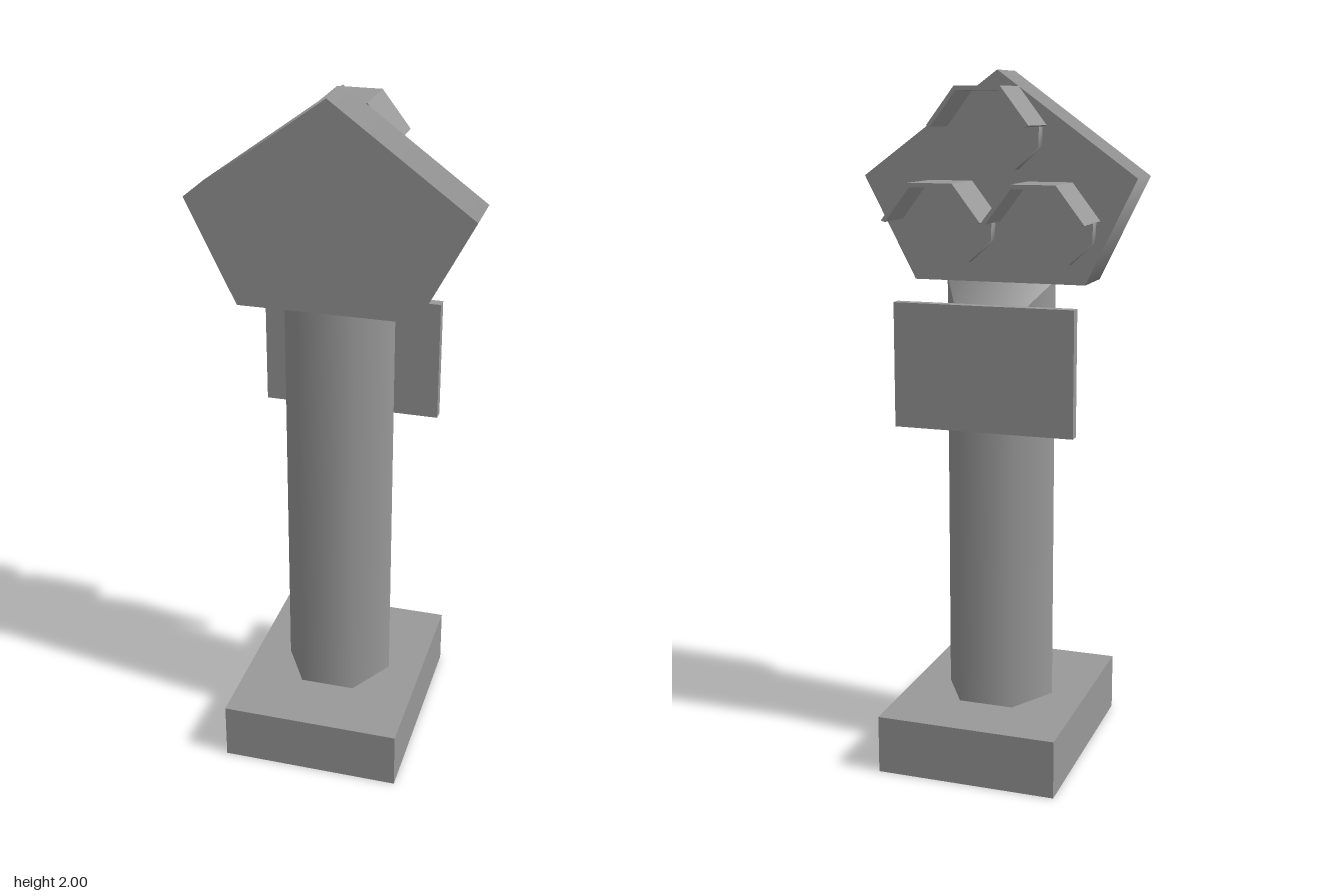
import * as THREE from 'three';
import { toCreasedNormals } from 'three/addons/utils/BufferGeometryUtils.js';

const grey = new THREE.MeshStandardMaterial({ color: 0x999999 });
const greyDouble = new THREE.MeshStandardMaterial({ color: 0x999999, side: THREE.DoubleSide });

function addMesh(parent, name, geometry, material = grey) {
  const mesh = new THREE.Mesh(geometry, material);
  mesh.name = name;
  parent.add(mesh);
  return mesh;
}

// Prism of an XY outline between two depths
function prism(points, zBack, zFront) {
  const shape = new THREE.Shape(points.map(([x, y]) => new THREE.Vector2(x, y)));
  const geometry = new THREE.ExtrudeGeometry(shape, { depth: zFront - zBack, bevelEnabled: false });
  return geometry.translate(0, 0, zBack);
}

// Box without its underside
function openBox(width, height, depth) {
  const geometry = new THREE.BoxGeometry(width, height, depth);
  const index = Array.from(geometry.index.array);
  index.splice(18, 6);
  geometry.setIndex(index);
  geometry.clearGroups();
  return geometry;
}

// Six-sided post whose top slopes down towards the back with soft shading
function post() {
  const bottom = 0.165, top = 1.41;
  const geometry = new THREE.CylinderGeometry(0.163, 0.163, top - bottom, 6, 1, false, Math.PI / 6);
  geometry.translate(-0.005, (top + bottom) / 2, -0.007);
  const pos = geometry.attributes.position;
  const normal = geometry.attributes.normal;
  const soft = new THREE.Vector3();
  for (let i = 0; i < pos.count; i++) {
    const z = pos.getZ(i);
    if (pos.getY(i) < 1 || z > 0.05) continue;
    pos.setY(i, z < -0.1 ? 1.32 : 1.42);
    if (normal.getY(i) > 0.5) {
      soft.set(pos.getX(i) * 4, 0.8, -0.7).normalize();
      normal.setXYZ(i, soft.x, soft.y, soft.z);
    }
  }
  return geometry;
}

// Five-sided head: each column of a cylinder moves to its corner, the rim stays softly shaded
function head() {
  const corners = [[0, 2], [0.405, 1.705], [0.25, 1.41], [-0.26, 1.41], [-0.405, 1.708]];
  const geometry = new THREE.CylinderGeometry(1, 1, 0.16, 5).rotateX(-Math.PI / 2);
  const pos = geometry.attributes.position;
  const normal = geometry.attributes.normal;
  for (let i = 0; i < pos.count; i++) {
    const x = pos.getX(i), y = pos.getY(i);
    const step = Math.round(Math.atan2(x, y) / (Math.PI * 0.4));
    const [cx, cy] = Math.hypot(x, y) < 0.5 ? [0, 1.68] : corners[(step + 5) % 5];
    pos.setXYZ(i, cx, cy, pos.getZ(i) + 0.055);
    // Rim normals point away from the head's centre
    if (Math.abs(normal.getZ(i)) < 0.5) {
      const out = new THREE.Vector2(cx, (cy - 1.64) * 1.4).normalize();
      normal.setXYZ(i, out.x, out.y, 0);
    }
  }
  return geometry;
}

// Eight-sided lens with a three-panel visor over its upper half
function lamp(x, y) {
  const group = new THREE.Group();
  group.name = 'lamp';
  const lens = [
    [-0.135, 0.01], [-0.133, -0.06], [-0.065, -0.122], [0.065, -0.122],
    [0.133, -0.06], [0.135, 0.01], [0.06, 0.1], [-0.06, 0.1],
  ];
  const visor = [
    [0.146, 0], [0.065, 0.105], [-0.065, 0.105], [-0.146, 0],
    [-0.134, -0.004], [-0.06, 0.093], [0.06, 0.093], [0.134, -0.004],
  ];
  addMesh(group, 'lens', toCreasedNormals(prism(lens, -0.06, -0.025), Math.PI / 3));
  addMesh(group, 'visor', prism(visor, -0.192, -0.025));
  group.position.set(x, y, 0);
  return group;
}

export function createModel() {
  const model = new THREE.Group();
  model.name = 'signalPost';

  // Hollow plinth
  const base = addMesh(model, 'base', openBox(0.53, 0.17, 0.67), greyDouble);
  base.position.set(-0.005, 0.085, 0);

  addMesh(model, 'post', post());
  addMesh(model, 'head', head());

  // Thin plate on the back of the post
  const plate = addMesh(model, 'backPlate', openBox(0.53, 0.36, 0.032), greyDouble);
  plate.position.set(-0.005, 1.18, -0.156);

  // Three lamps facing backwards
  for (const [x, y] of [[0.002, 1.85], [-0.155, 1.59], [0.14, 1.59]]) model.add(lamp(x, y));

  return model;
}
